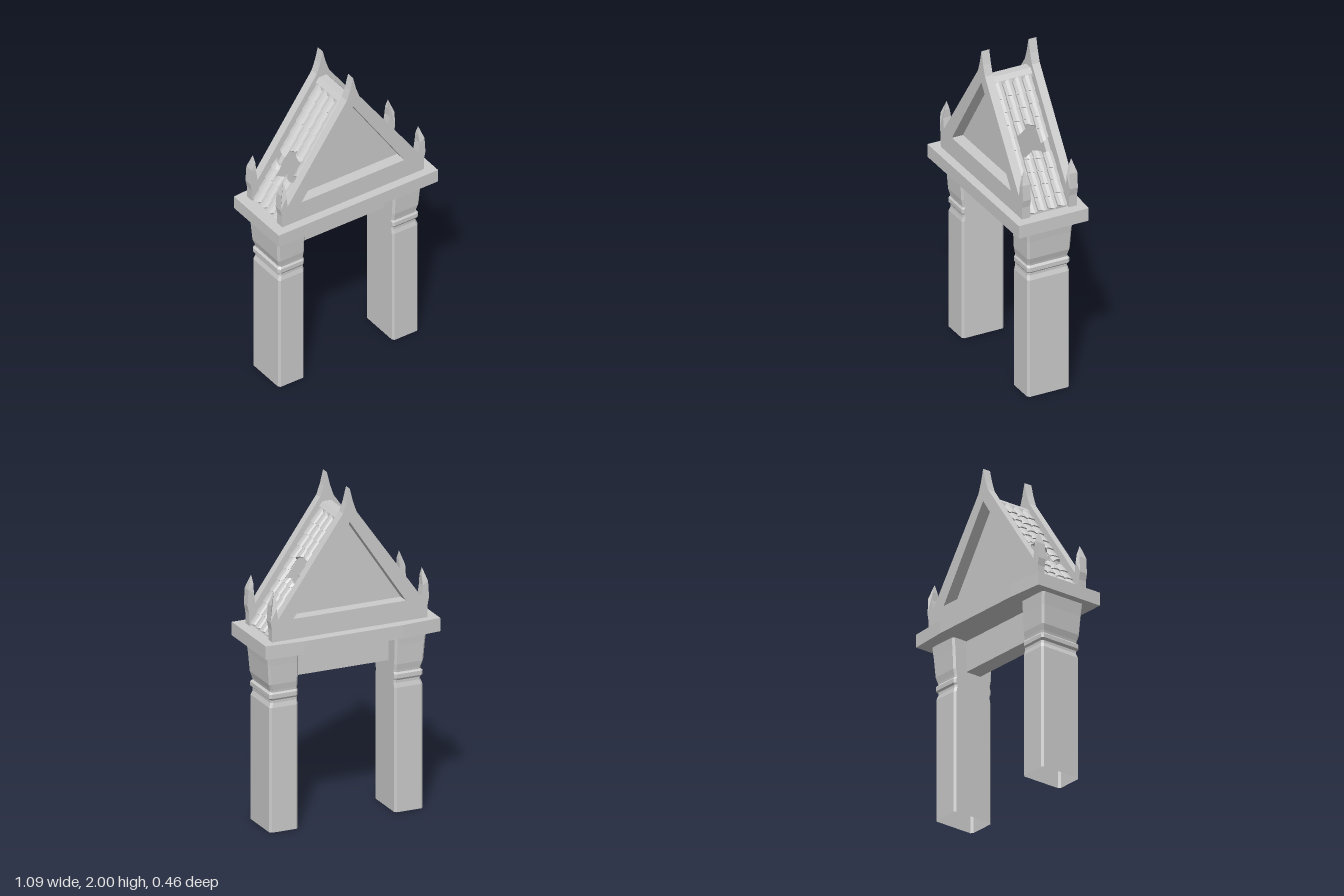
import * as THREE from 'three';
import { mergeGeometries } from 'three/addons/utils/BufferGeometryUtils.js';

const material = new THREE.MeshStandardMaterial({ color: 0xcccccc, flatShading: true, side: THREE.DoubleSide });

const toShape = (pts) => new THREE.Shape(pts.map(([x, y]) => new THREE.Vector2(x, y)));
const extrude = (shape, depth) => new THREE.ExtrudeGeometry(shape, { depth, bevelEnabled: false });

function add(parent, name, geometry) {
  const mesh = new THREE.Mesh(geometry, material);
  mesh.name = name;
  parent.add(mesh);
  return mesh;
}

// Hollow pillar on the +x side: bevelled rectangles stacked along a moulded profile
function pillarGeometry() {
  const profile = [[0, 0], [0.745, 0], [0.772, -0.01], [0.788, -0.01], [0.8, 0.002], [0.825, 0.002],
    [0.836, -0.01], [0.85, -0.007], [0.885, 0.004], [1.0, 0.013], [1.08, 0.022]];
  const b = 0.012, pos = [], index = [];
  for (const [y, d] of profile) {
    const x0 = 0.3, x1 = 0.476 + d, z = 0.134 + d * 0.6;
    for (const [px, pz] of [[x0 + b, z], [x1 - b, z], [x1, z - b], [x1, b - z],
      [x1 - b, -z], [x0 + b, -z], [x0, b - z], [x0, z - b]]) pos.push(px, y, pz);
  }
  for (let r = 0; r < profile.length - 1; r++) {
    for (let i = 0; i < 8; i++) {
      const a = r * 8 + i, c = r * 8 + (i + 1) % 8;
      index.push(a, c, c + 8, a, c + 8, a + 8);
    }
  }
  const g = new THREE.BufferGeometry();
  g.setAttribute('position', new THREE.Float32BufferAttribute(pos, 3));
  g.setIndex(index);
  g.computeVertexNormals();
  return g;
}

// Lintel slab with a slightly bowed back edge, open over the hollow pillars
function slabGeometry() {
  const shape = toShape([[-0.543, -0.228], [0.543, -0.228], [0.543, 0.217], [0.31, 0.233], [-0.31, 0.233], [-0.543, 0.217]]);
  for (const s of [-1, 1]) {
    shape.holes.push(toShape([[s * 0.315, -0.12], [s * 0.465, -0.12], [s * 0.465, 0.12], [s * 0.315, 0.12]]));
  }
  return extrude(shape, 0.08).rotateX(-Math.PI / 2).translate(0, 1.075, 0);
}

// Gable outline with finial and corner horns; horn tips taper in depth
function gableGeometry(triangle) {
  const half = [[0.482, 1.155], [0.484, 1.23], [0.493, 1.275], [0.487, 1.37], [0.46, 1.45],
    [0.452, 1.4], [0.454, 1.35], [0.445, 1.285], [0.042, 1.857], [0.02, 1.92]];
  const mirrored = half.map(([x, y]) => [-x, y]).reverse();
  const shape = toShape([...half, [0, 2], ...mirrored]);
  shape.holes.push(triangle);
  const g = extrude(shape, 0.05).translate(0, 0, 0.125), p = g.attributes.position;
  for (let i = 0; i < p.count; i++) {
    if (Math.abs(p.getX(i)) < 0.449 || p.getY(i) < 1.34) continue;
    const k = THREE.MathUtils.clamp((1.45 - p.getY(i)) / 0.08, 0.05, 1);
    p.setZ(i, 0.15 + (p.getZ(i) - 0.15) * k);
  }
  return g;
}

// One arched roof tile running from s0 to s1 down the slope, with optional broken ends
const tileProfile = toShape([[-0.031, 0], [-0.019, 0.015], [0, 0.018], [0.019, 0.015], [0.031, 0],
  [0.024, -0.006], [0.014, 0.005], [-0.014, 0.005], [-0.024, -0.006]]);
function tileGeometry(s0, s1, brokenTop, brokenEnd, skew) {
  const g = extrude(tileProfile, 1), p = g.attributes.position;
  for (let i = 0; i < p.count; i++) {
    const x = p.getX(i), end = p.getZ(i) > 0.5;
    const round = 0.012 * (1 - (x / 0.031) ** 2);
    if (end) {
      p.setZ(i, s1 + (brokenEnd ? skew * x : round));
      p.setY(i, p.getY(i) + 0.009);
    } else {
      p.setZ(i, s0 + (brokenTop ? skew * x : 0));
    }
  }
  return g;
}

// One roof slope facing +x; gaps lists the missing stretch of each column in rows
function slopeGeometry(gaps) {
  const start = new THREE.Vector3(0.037, 1.79, 0), end = new THREE.Vector3(0.457, 1.175, 0);
  const down = end.clone().sub(start), pitch = down.length() / 10;
  down.normalize();
  const normal = new THREE.Vector3(-down.y, down.x, 0);
  const basis = new THREE.Matrix4().makeBasis(normal.clone().cross(down), normal, down);
  const tiles = [];
  gaps.forEach(([from, to], c) => {
    const shift = c % 2 ? 0.1 : 0;
    for (let r = 0; r < 10; r++) {
      let a = r + (r ? shift : 0) - 0.08, b = r + 1.04 + (r < 9 ? shift : 0);
      const brokenEnd = a < from && b > from, brokenTop = a < to && b > to && !brokenEnd;
      if (brokenEnd) b = from;
      if (brokenTop) a = to;
      if ((a >= from && b <= to) || b - a < 0.15) continue;
      const g = tileGeometry(a * pitch, b * pitch, brokenTop, brokenEnd, c % 2 ? 0.4 : -0.5);
      g.applyMatrix4(basis).translate(start.x, start.y, -0.094 + 0.0627 * c);
      tiles.push(g);
    }
  });
  return mergeGeometries(tiles);
}

export function createModel() {
  const model = new THREE.Group();
  model.name = 'gateway';

  const pillar = pillarGeometry();
  add(model, 'leftPillar', pillar);
  add(model, 'rightPillar', pillar).rotation.y = Math.PI;

  add(model, 'crossBeam', new THREE.BoxGeometry(0.61, 0.2, 0.1).translate(0, 0.985, 0));
  add(model, 'lintelSlab', slabGeometry());

  // Front and back gables, each with a deep triangular recess
  const corners = [[-0.35, 1.275], [0.35, 1.275], [0, 1.8]];
  const triangle = toShape(corners);
  const rim = toShape(corners.map(([x, y]) => [x * 1.04, 1.45 + (y - 1.45) * 1.04]));
  const recess = rim.clone();
  recess.holes.push(triangle);
  for (const [name, angle] of [['frontGable', 0], ['backGable', Math.PI]]) {
    const gable = new THREE.Group();
    gable.name = name;
    gable.rotation.y = angle;
    add(gable, 'gableFrame', gableGeometry(triangle));
    add(gable, 'recessWalls', extrude(recess, 0.02).translate(0, 0, 0.105));
    add(gable, 'recessPanel', extrude(rim, 0.01).translate(0, 0, 0.095));
    model.add(gable);
  }

  // Tiled slopes with weathered holes
  const none = [99, 99];
  add(model, 'leftRoofTiles', slopeGeometry([[5, 5.7], [3.7, 5.7], [4, 5.8], none]));
  add(model, 'rightRoofTiles', slopeGeometry([[6.6, 7.1], [5.4, 7.2], [5.3, 7.5], [5.9, 6.7]])).rotation.y = Math.PI;

  // Ridge cap between the gables
  const ridge = toShape([[-0.052, 1.785], [0.052, 1.785], [0.048, 1.805], [0.025, 1.83], [-0.025, 1.83], [-0.048, 1.805]]);
  add(model, 'ridgeCap', extrude(ridge, 0.25).translate(0, 0, -0.125));

  return model;
}
